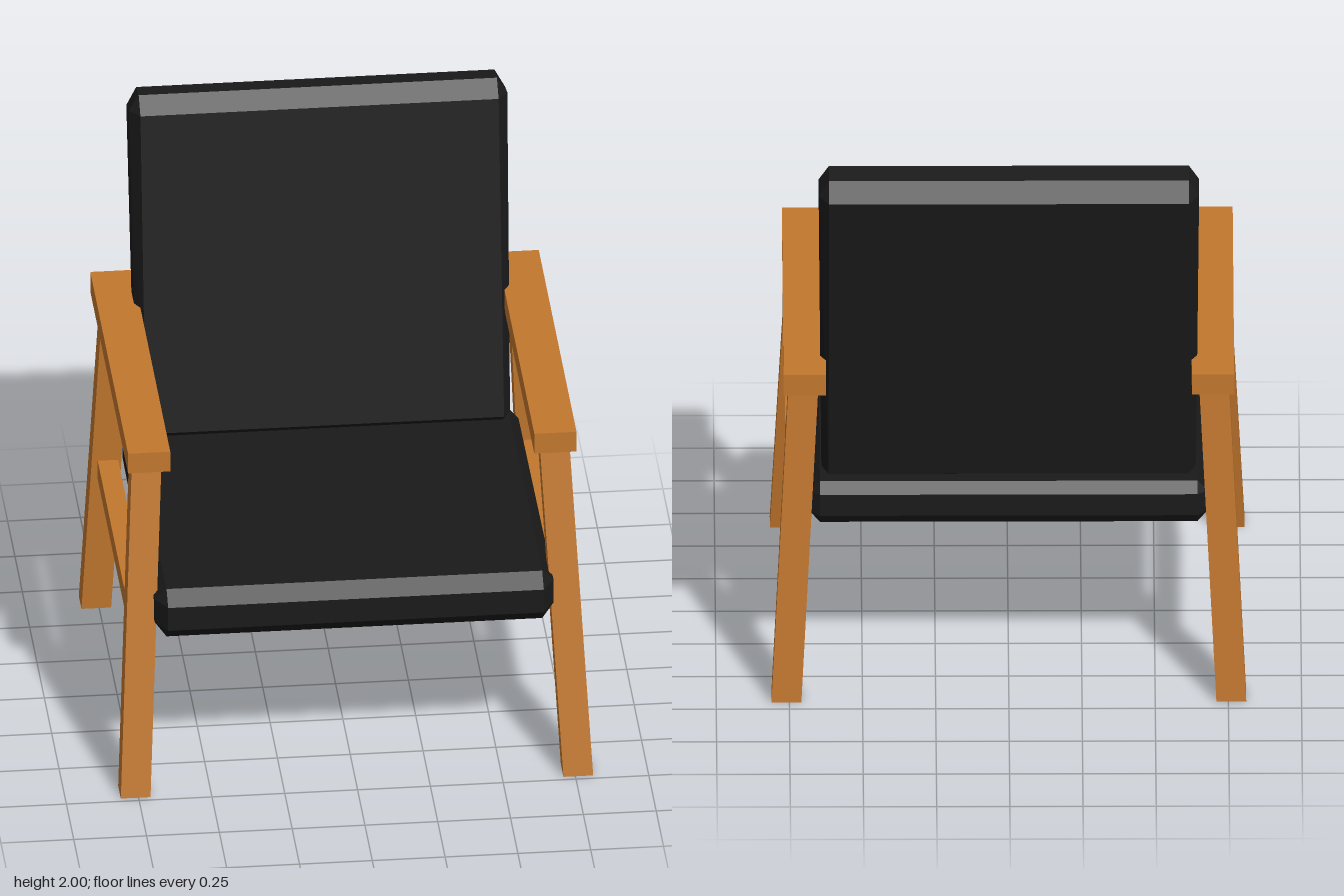
import * as THREE from 'three';
import { ConvexGeometry } from 'three/addons/geometries/ConvexGeometry.js';

const wood = new THREE.MeshStandardMaterial({ color: 0xc2772e });
const fabric = new THREE.MeshStandardMaterial({ color: 0x1a1a1a });

function add(parent, name, geometry, material) {
  const mesh = new THREE.Mesh(geometry, material);
  mesh.name = name;
  parent.add(mesh);
  return mesh;
}

// Box given by its limits on each axis
function block([x0, x1], [y0, y1], [z0, z1]) {
  return new THREE.BoxGeometry(x1 - x0, y1 - y0, z1 - z0)
    .translate((x0 + x1) / 2, (y0 + y1) / 2, (z0 + z1) / 2);
}

// Leg with level ends, slanting from a foot centre to a top centre
function slantedLeg(foot, top, height, width, depth) {
  const geometry = new THREE.BoxGeometry(width, height, depth).translate(0, height / 2, 0);
  const p = geometry.attributes.position;
  for (let i = 0; i < p.count; i++) {
    const t = p.getY(i) / height;
    p.setX(i, p.getX(i) + THREE.MathUtils.lerp(foot[0], top[0], t));
    p.setZ(i, p.getZ(i) + THREE.MathUtils.lerp(foot[1], top[1], t));
  }
  geometry.computeVertexNormals();
  return geometry;
}

// Chamfered cushion: [z, y] outline at the inset width, [z, y, x] side panel corners
function cushion(outline, insetX, panel) {
  const points = [];
  for (const s of [-1, 1]) {
    for (const [z, y] of outline) points.push(new THREE.Vector3(s * insetX, y, z));
    for (const [z, y, x] of panel) points.push(new THREE.Vector3(s * x, y, z));
  }
  return new ConvexGeometry(points);
}

export function createModel() {
  const chair = new THREE.Group();
  chair.name = 'armchair';

  // Cushions
  add(chair, 'seatCushion', cushion(
    [[0.64, 0.76], [0.697, 0.717], [0.697, 0.628], [0.64, 0.575],
      [-0.52, 0.6], [-0.545, 0.635], [-0.545, 0.715], [-0.52, 0.755]],
    0.645,
    [[0.63, 0.717, 0.685], [0.63, 0.628, 0.685], [-0.515, 0.64, 0.68], [-0.515, 0.715, 0.68]],
  ), fabric);

  add(chair, 'backCushion', cushion(
    [[-0.545, 1.95], [-0.605, 2.0], [-0.69, 1.985], [-0.73, 1.915],
      [-0.535, 0.79], [-0.485, 0.765], [-0.4, 0.778], [-0.36, 0.81]],
    0.615,
    [[-0.597, 1.945, 0.65], [-0.679, 1.923, 0.65], [-0.489, 0.8, 0.64], [-0.405, 0.81, 0.64]],
  ), fabric);

  // Wooden side frames
  for (const [side, s] of [['left', 1], ['right', -1]]) {
    const frame = new THREE.Group();
    frame.name = side + 'Frame';
    const span = (a, b) => (s > 0 ? [a, b] : [-b, -a]);
    add(frame, side + 'Armrest', block(span(0.625, 0.77), [1.18, 1.257], [-0.715, 0.57]), wood);
    add(frame, side + 'SeatRail', block(span(0.69, 0.76), [0.53, 0.603], [-0.575, 0.55]), wood);
    add(frame, side + 'FrontLeg',
      slantedLeg([s * 0.76, 0.685], [s * 0.7, 0.465], 1.19, 0.102, 0.09), wood);
    add(frame, side + 'BackLeg',
      slantedLeg([s * 0.76, -0.655], [s * 0.7, -0.56], 1.19, 0.102, 0.09), wood);
    chair.add(frame);
  }
  return chair;
}
